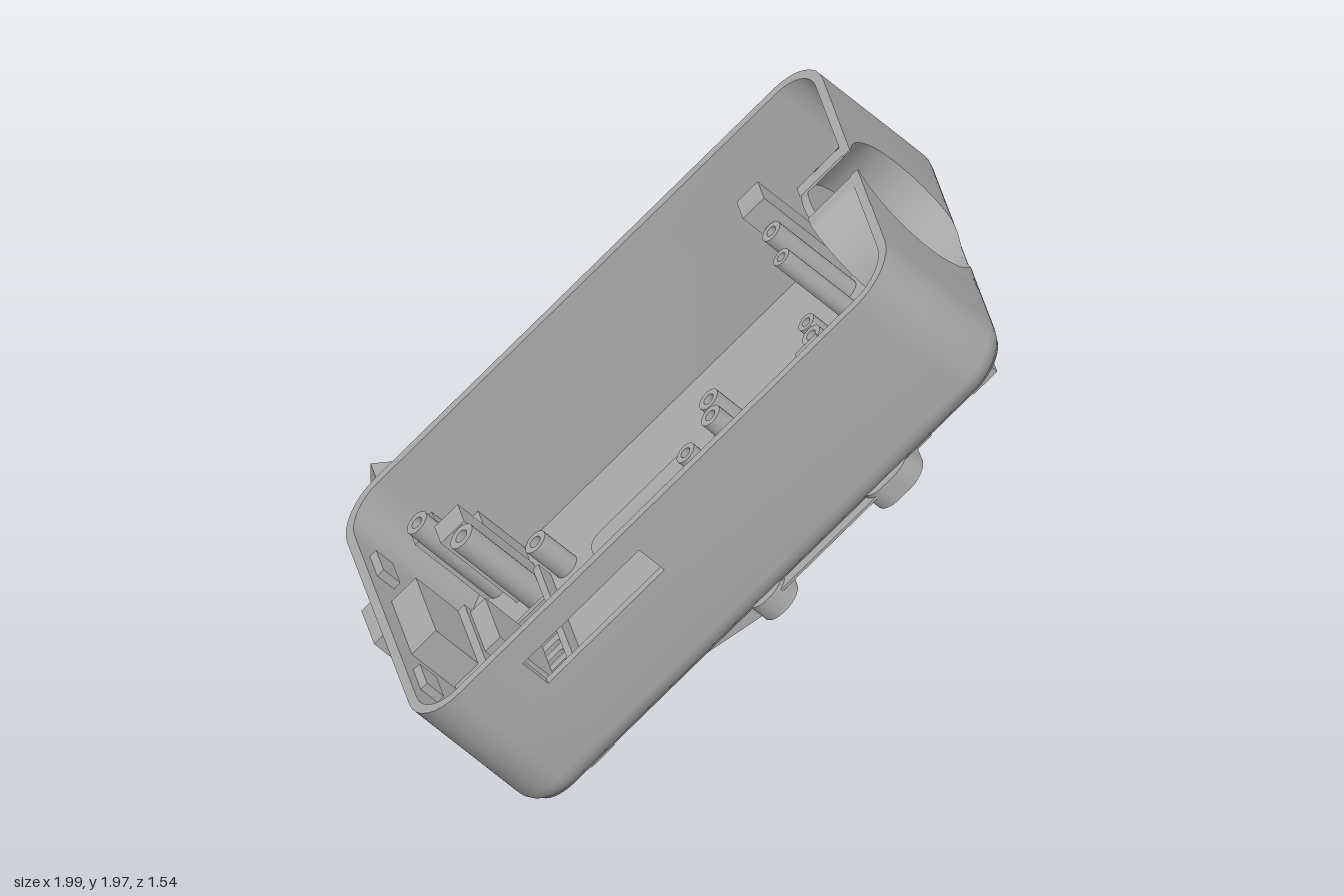
import * as THREE from 'three';
import { toCreasedNormals } from 'three/addons/utils/BufferGeometryUtils.js';

const grey = new THREE.MeshStandardMaterial({ color: 0xaaaaaa, side: THREE.DoubleSide });
grey.name = 'plain grey';

// Case frame: x = along the case, y = through its depth (open side +y), z = across.
const U0 = -0.42, U1 = 1.83, Z0 = -0.66, Z1 = 0.77, V0 = 0.385, V1 = 0.958;
const R = 0.18, FILLET = 0.08, WALL = 0.035, FLOOR = 0.4;
const CUP = { z: 0.055, v: 0.68, r: 0.28, back: 1.625, half: 0.3 };

function add(parent, name, geometry) {
  const mesh = new THREE.Mesh(geometry, grey);
  mesh.name = name;
  parent.add(mesh);
  return mesh;
}

// Box given by its limits
function box(parent, name, x0, x1, y0, y1, z0, z1) {
  const g = new THREE.BoxGeometry(x1 - x0, y1 - y0, z1 - z0);
  g.translate((x0 + x1) / 2, (y0 + y1) / 2, (z0 + z1) / 2);
  return add(parent, name, g);
}

// Quad grid from f(i, j), with optional skipped cells
function grid(ni, nj, f, skip = () => false) {
  const pos = [], idx = [];
  for (let i = 0; i <= ni; i++) for (let j = 0; j <= nj; j++) pos.push(...f(i, j));
  for (let i = 0; i < ni; i++) for (let j = 0; j < nj; j++) {
    if (skip(i, j)) continue;
    const a = i * (nj + 1) + j, b = a + nj + 1;
    idx.push(a, b, a + 1, b, b + 1, a + 1);
  }
  const g = new THREE.BufferGeometry();
  g.setAttribute('position', new THREE.Float32BufferAttribute(pos, 3));
  g.setIndex(idx);
  g.computeVertexNormals();
  return toCreasedNormals(g, 0.6);
}

function roundRect(x0, x1, y0, y1, r, path = new THREE.Shape()) {
  path.absarc(x1 - r, y0 + r, r, -Math.PI / 2, 0);
  path.absarc(x1 - r, y1 - r, r, 0, Math.PI / 2);
  path.absarc(x0 + r, y1 - r, r, Math.PI / 2, Math.PI);
  path.absarc(x0 + r, y0 + r, r, Math.PI, Math.PI * 1.5);
  path.closePath();
  return path;
}

// Shape drawn in plan (x, z), raised from v0 to v1
function slab(parent, name, shape, v0, v1) {
  const g = new THREE.ExtrudeGeometry(shape, { depth: v1 - v0, bevelEnabled: false, curveSegments: 10 });
  g.rotateX(Math.PI / 2).translate(0, v1, 0);
  return add(parent, name, toCreasedNormals(g, 0.6));
}

// Profile in (x, y) extruded across z
function prism(parent, name, points, z0, z1) {
  const shape = new THREE.Shape(points.map(p => new THREE.Vector2(...p)));
  const g = new THREE.ExtrudeGeometry(shape, { depth: z1 - z0, bevelEnabled: false });
  return add(parent, name, g.translate(0, 0, z0));
}

// Hollow screw post standing on the floor
function post(parent, name, u, z, r, h, bore = r * 0.5) {
  const p = [[bore, 0], [r, 0], [r, h], [bore, h], [bore, 0]].map(q => new THREE.Vector2(...q));
  const g = new THREE.LatheGeometry(p, 20).translate(u, FLOOR, z);
  return add(parent, name, toCreasedNormals(g, 0.6));
}

// Plan outline inset by d, starting and ending beside the cup
function outline(d) {
  const pts = [[U1 - d, CUP.z + CUP.half]];
  const arc = (cx, cz, a) => {
    for (let k = 0; k <= 8; k++) {
      const t = a + k * Math.PI / 16;
      pts.push([cx + (R - d) * Math.cos(t), cz + (R - d) * Math.sin(t)]);
    }
  };
  arc(U1 - R, Z1 - R, 0);
  pts.push([0.53, Z1 - d], [-0.02, Z1 - d]);
  arc(U0 + R, Z1 - R, Math.PI / 2);
  arc(U0 + R, Z0 + R, Math.PI);
  arc(U1 - R, Z0 + R, Math.PI * 1.5);
  pts.push([U1 - d, CUP.z - CUP.half]);
  return pts;
}

function buildShell(body) {
  // Walls: filleted outside, rim, inside; one window cut in the +z wall
  const rows = [];
  for (let k = 0; k <= 6; k++) {
    const a = k * Math.PI / 12;
    rows.push([FILLET * (1 - Math.sin(a)), V0 + FILLET * (1 - Math.cos(a))]);
  }
  rows.push([0, 0.75], [0, 0.87], [0, V1], [WALL, V1], [WALL, 0.87], [WALL, 0.75], [WALL, FLOOR]);
  const rings = rows.map(([d]) => outline(d));
  add(body, 'caseWalls', grid(rows.length - 1, rings[0].length - 1,
    (i, j) => [rings[i][j][0], rows[i][1], rings[i][j][1]],
    (i, j) => j === 10 && (i === 7 || i === 11)));
  for (const [a, b, c, d] of [[-0.024, -0.02, 0.75, 0.87], [0.53, 0.534, 0.75, 0.87],
    [-0.02, 0.53, 0.746, 0.75], [-0.02, 0.53, 0.87, 0.874]])
    box(body, 'windowEdge', a, b, c, d, Z1 - WALL, Z1 - 0.001);

  // Floor with five vent slots
  const floor = roundRect(U0 + FILLET, U1 - FILLET, Z0 + FILLET, Z1 - FILLET, R - FILLET);
  for (let k = 0; k < 5; k++) {
    const z = -0.07 + k * 0.0625;
    floor.holes.push(roundRect(-0.27, -0.1, z - 0.014, z + 0.014, 0.013, new THREE.Path()));
  }
  slab(body, 'floor', floor, V0, FLOOR);
  const inner = roundRect(U0 + 0.03, U1 - 0.03, Z0 + 0.03, Z1 - 0.03, 0.15);
  inner.holes.push(roundRect(U0 + 0.09, U1 - 0.09, Z0 + 0.09, Z1 - 0.09, 0.1, new THREE.Path()));
  slab(body, 'floorEdge', inner, FLOOR - 0.003, FLOOR);
}

function buildCup(body) {
  // End wall pierced by a round cup that is slotted at the open side
  const N = 128, gap = Math.asin(0.065 / CUP.r);
  const endU = v => v > V0 + FILLET ? U1
    : U1 - FILLET + Math.sqrt(Math.max(0, FILLET ** 2 - (V0 + FILLET - v) ** 2));
  const angle = i => Math.PI / 2 + gap + (i / N) * (Math.PI * 2 - 2 * gap);
  const clampV = v => Math.min(V1, Math.max(V0 + 0.01, v));
  const rim = (i, r) => [CUP.z + r * Math.cos(angle(i)), clampV(CUP.v + r * Math.sin(angle(i)))];
  const edge = i => {
    const c = Math.cos(angle(i)), s = Math.sin(angle(i));
    const t = Math.min(CUP.half / Math.abs(c), (s > 0 ? V1 - CUP.v : CUP.v - V0) / Math.abs(s));
    return [CUP.z + t * c, CUP.v + t * s];
  };
  for (const off of [0, WALL])
    add(body, 'cupEndWall', grid(N, 6, (i, j) => {
      const a = rim(i, CUP.r), b = edge(i), t = j / 6;
      const z = a[0] + (b[0] - a[0]) * t, v = a[1] + (b[1] - a[1]) * t;
      return [endU(v) - off, v, z];
    }));
  for (const r of [CUP.r, CUP.r + 0.025])
    add(body, 'cupWall', grid(N, 1, (i, j) => {
      const [z, v] = rim(i, r);
      return [j ? CUP.back - 0.03 : endU(v) - (r > CUP.r ? WALL : 0), v, z];
    }));
  for (const s of [-1, 1]) {
    const a = CUP.z + s * 0.065, b = CUP.z + s * CUP.half;
    box(body, 'cupRim', U1 - WALL, U1 - 0.001, V1 - 0.006, V1, Math.min(a, b), Math.max(a, b));
  }
  const disc = new THREE.Shape().absarc(0, 0, CUP.r, 0, Math.PI * 2);
  disc.holes.push(new THREE.Path().absarc(0, 0, 0.1, 0, Math.PI * 2));
  const g = new THREE.ExtrudeGeometry(disc, { depth: 0.03, bevelEnabled: false, curveSegments: 32 });
  g.rotateY(Math.PI / 2).translate(CUP.back - 0.03, CUP.v, CUP.z);
  add(body, 'cupFloor', toCreasedNormals(g, 0.6));
}

function buildOutside(body) {
  // Feet under the case, each with its column inside
  for (const z of [0.56, -0.445])
    for (const [u0, u1, top] of [[-0.2, -0.09, 0.76], [1.31, 1.41, 0.84], [1.61, 1.72, 0.6]]) {
      box(body, 'foot', u0, u1, 0.322, V0 + 0.01, z - 0.055, z + 0.055);
      if (top > 0.7) box(body, 'clipColumn', u0, u1, FLOOR, top, z - 0.055, z + 0.055);
    }
  // Battery cover: thin panel between two raised ridges, with a ramp
  const cover = roundRect(0.6, 1.34, -0.16, 0.76, 0.07);
  cover.holes.push(new THREE.Path().absarc(1.0, 0.565, 0.03, 0, Math.PI * 2));
  slab(body, 'coverPanel', cover, 0.376, V0);
  slab(body, 'coverLowerRidge', roundRect(0.594, 0.75, -0.17, 0.77, 0.07), 0.322, FLOOR);
  slab(body, 'coverUpperRidge', roundRect(1.13, 1.345, -0.17, 0.77, 0.08), 0.322, FLOOR);
  prism(body, 'coverRamp', [[0.3, V0], [0.595, 0.322], [0.62, V0]], -0.09, 0.69);
  // Plug guard on the lower end
  box(body, 'plugGuard', -0.468, U0 + 0.01, 0.56, 0.945, -0.11, 0.11);
  // Rounded pad on the -z side
  slab(body, 'sidePad', roundRect(0.066, 0.726, -0.77, -0.6 - 0.045, 0.06), 0.46, 0.715);
}

function buildInside(body) {
  for (const z of [-0.24, 0.36])
    slab(body, 'floorPad', roundRect(0.14, 0.62, z - 0.06, z + 0.06, 0.05), FLOOR, 0.425);
  for (const u of [-0.07, 0.73]) box(body, 'rib', u, u + 0.025, FLOOR, 0.46, -0.37, 0.46);
  // Frame around the vents
  for (const z of [-0.23, 0.335]) box(body, 'ventFrame', -0.35, -0.07, FLOOR, 0.44, z, z + 0.02);
  box(body, 'ventFrame', -0.35, -0.33, FLOOR, 0.44, -0.23, 0.355);
  // Screw posts: [along, across, radius, height]
  for (const [u, z, r, h] of [[0.8, -0.22, 0.042, 0.14], [0.8, -0.08, 0.042, 0.17], [0.66, -0.035, 0.04, 0.16],
    [-0.12, -0.33, 0.05, 0.36], [0.02, -0.33, 0.045, 0.15], [-0.24, -0.55, 0.045, 0.39],
    [1.35, -0.34, 0.04, 0.36], [1.35, -0.17, 0.035, 0.36], [1.35, 0.26, 0.035, 0.36], [1.35, 0.345, 0.04, 0.36]])
    post(body, 'screwPost', u, z, r, h);
  post(body, 'ringHolder', 0.95, 0.56, 0.095, 0.09, 0.065);
  // Slotted holder
  for (const z of [0.05, 0.27]) box(body, 'slotHolder', 0.93, 0.99, FLOOR, 0.46, z, z + 0.03);
  for (const u of [0.93, 0.975]) box(body, 'slotHolder', u, u + 0.015, FLOOR, 0.46, 0.05, 0.3);
  // Socket housing at the lower end
  box(body, 'socketBase', -0.38, -0.24, FLOOR, 0.68, -0.13, 0.42);
  box(body, 'socketHousing', -0.385, -0.27, 0.62, 0.88, -0.13, 0.22);
  box(body, 'socketClamp', -0.27, -0.17, FLOOR, 0.66, -0.1, 0.16);
  box(body, 'cornerBlock', -0.22, -0.1, FLOOR, 0.62, -0.62, -0.5);
  box(body, 'cornerBlock', -0.3, -0.2, FLOOR, 0.74, -0.62, -0.54);
  for (const z of [-0.33, 0.42]) box(body, 'lidHook', -0.386, -0.355, 0.83, 0.91, z - 0.065, z + 0.065);
}

export function createModel() {
  const model = new THREE.Group();
  model.name = 'tiltedCase';
  const body = new THREE.Group();
  body.name = 'case';
  body.rotation.z = Math.PI / 4;
  buildShell(body);
  buildCup(body);
  buildOutside(body);
  buildInside(body);
  model.add(body);
  // Upright stand blocks
  box(model, 'sideStand', -0.84, -0.35, 0.07, 0.5, -0.77, -0.655);
  box(model, 'sideStandFoot', -0.42, -0.35, 0.07, 0.14, -0.66, -0.61);
  prism(model, 'underStand', [[0.4, 0.71], [0.545, 0.71], [0.545, 1.1], [0.4, 0.955]], -0.45, -0.27);
  return model;
}
